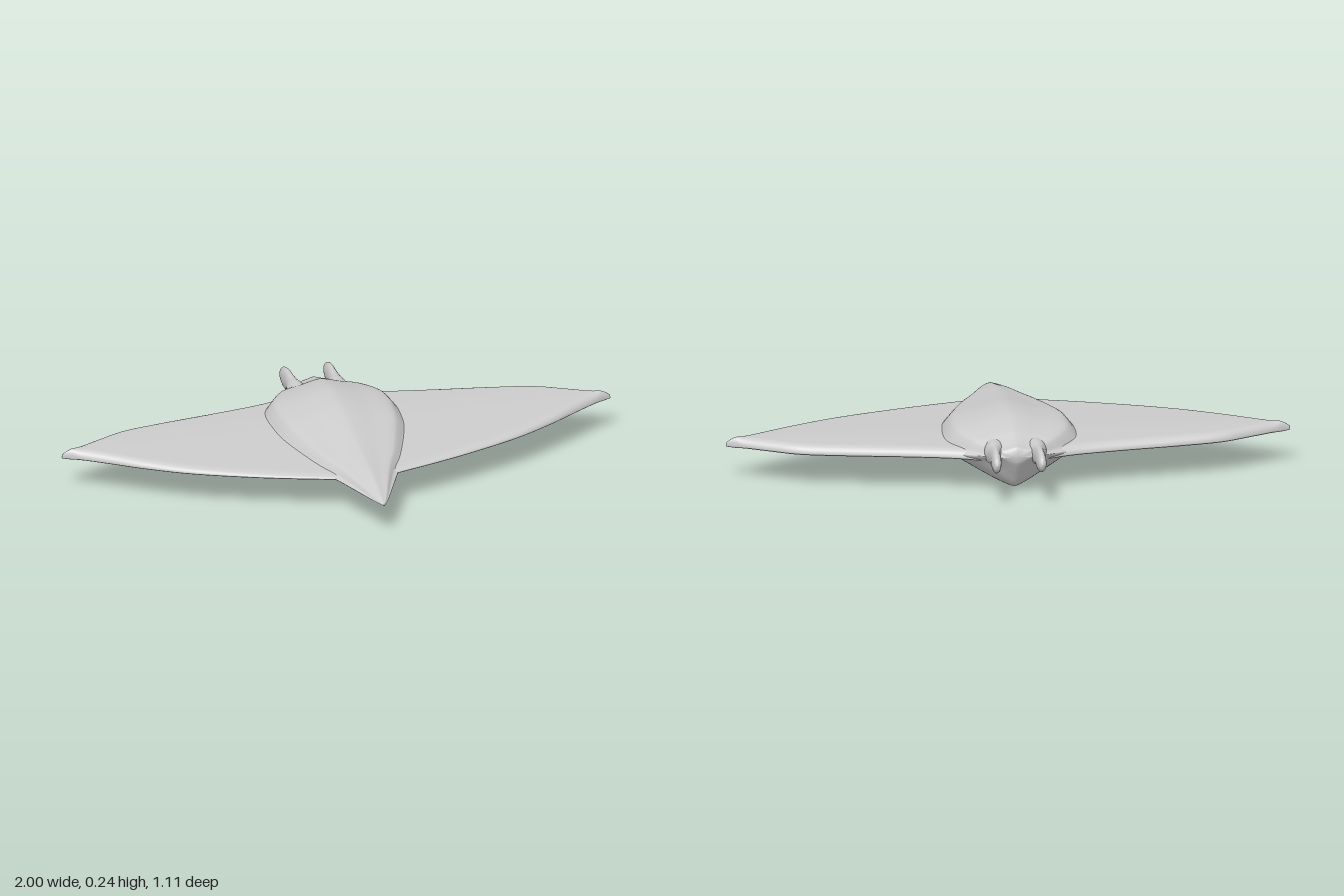
import * as THREE from 'three';

const material = new THREE.MeshStandardMaterial({ color: 0xcccccc, roughness: 0.8 });

// Smooth interpolation through rows [t, a, b, ...] sorted by t
function sample(rows, t) {
  let i = 0;
  while (i < rows.length - 2 && t > rows[i + 1][0]) i++;
  const p = rows[i], q = rows[i + 1];
  const h = q[0] - p[0];
  const u = THREE.MathUtils.clamp((t - p[0]) / h, 0, 1);
  const before = rows[Math.max(i - 1, 0)], after = rows[Math.min(i + 2, rows.length - 1)];
  return p.slice(1).map((a, n) => {
    const k = n + 1, b = q[k];
    const m0 = ((b - before[k]) / (q[0] - before[0])) * h;
    const m1 = ((after[k] - a) / (after[0] - p[0])) * h;
    const u2 = u * u, u3 = u2 * u;
    return (2 * u3 - 3 * u2 + 1) * a + (u3 - 2 * u2 + u) * m0 + (3 * u2 - 2 * u3) * b + (u3 - u2) * m1;
  });
}

// Skin closed rings, each counter-clockwise seen from the far end, and cap both ends
function loft(name, rings) {
  const n = rings[0].length, positions = [], index = [];
  rings.forEach(r => r.forEach(p => positions.push(...p)));
  for (let i = 0; i < rings.length - 1; i++) {
    for (let j = 0; j < n; j++) {
      const a = i * n + j, b = i * n + (j + 1) % n;
      index.push(a, b, b + n, a, b + n, a + n);
    }
  }
  [0, rings.length - 1].forEach((r, end) => {
    const c = positions.length / 3;
    positions.push(...[0, 1, 2].map(k => rings[r].reduce((s, p) => s + p[k], 0) / n));
    for (let j = 0; j < n; j++) {
      const a = r * n + j, b = r * n + (j + 1) % n;
      if (end) index.push(c, a, b); else index.push(c, b, a);
    }
  });
  const geometry = new THREE.BufferGeometry();
  geometry.setAttribute('position', new THREE.Float32BufferAttribute(positions, 3));
  geometry.setIndex(index);
  geometry.computeVertexNormals();
  const mesh = new THREE.Mesh(geometry, material);
  mesh.name = name;
  return mesh;
}

const steps = (from, to, count) => Array.from({ length: count + 1 }, (_, i) => from + (to - from) * i / count);

// Body: z, half width, top, widest level, bottom
const BODY = [
  [-0.437, 0.045, 0.175, 0.155, 0.138],
  [-0.43, 0.065, 0.188, 0.155, 0.125],
  [-0.4, 0.105, 0.195, 0.15, 0.078],
  [-0.37, 0.145, 0.206, 0.145, 0.036],
  [-0.33, 0.2, 0.224, 0.14, 0.018],
  [-0.25, 0.26, 0.241, 0.138, 0.005],
  [-0.18, 0.275, 0.247, 0.138, 0.004],
  [-0.08, 0.27, 0.243, 0.138, 0.011],
  [0, 0.255, 0.232, 0.136, 0.023],
  [0.2, 0.175, 0.196, 0.133, 0.065],
  [0.3, 0.12, 0.181, 0.13, 0.075],
  [0.4, 0.075, 0.163, 0.127, 0.09],
  [0.5, 0.03, 0.138, 0.123, 0.109],
  [0.55, 0.003, 0.122, 0.12, 0.118]
];

function makeBody() {
  // Shouldered back above, keel below
  const half = [[0, -1], [0.2, -0.87], [0.42, -0.64], [0.62, -0.4], [0.82, -0.17], [1, 0],
    [0.87, 0.17], [0.79, 0.42], [0.7, 0.62], [0.4, 0.78], [0.15, 0.94], [0, 1]];
  const mirrored = half.slice(1, -1).reverse().map(([x, y]) => [-x, y]);
  const outline = new THREE.CatmullRomCurve3(
    [...half, ...mirrored].map(([x, y]) => new THREE.Vector3(x, y, 0)), true
  ).getPoints(88).slice(0, -1);
  const zs = [...steps(-0.437, -0.33, 16), ...steps(-0.32, 0.55, 60)];
  return loft('body', zs.map(z => {
    const [w, top, mid, bottom] = sample(BODY, z);
    return outline.map(p => [p.x * w, mid + p.y * (p.y > 0 ? top - mid : mid - bottom), z]);
  }));
}

// Wing plan: distance from the middle, leading edge z, trailing edge z
const WING = [
  [0.02, -0.385, 0.33], [0.1, -0.38, 0.315], [0.17, -0.352, 0.293], [0.25, -0.33, 0.268],
  [0.4, -0.302, 0.215], [0.6, -0.27, 0.13], [0.75, -0.238, 0.043], [0.85, -0.19, -0.025],
  [0.95, -0.138, -0.09], [0.985, -0.122, -0.108], [1, -0.117, -0.113]
];
const WING_TOP = [[-0.4, 0.158], [-0.25, 0.16], [-0.1, 0.16], [0.1, 0.15], [0.33, 0.138]];

function makeWing(name, side) {
  const xs = [...steps(0.02, 0.94, 44), ...steps(0.95, 1, 8)].map(x => x * side);
  if (side < 0) xs.reverse();
  const mid = 0.13, floor = 0.121, count = 32;
  return loft(name, xs.map(x => {
    const [lead, trail] = sample(WING, Math.abs(x));
    const chord = trail - lead, radius = Math.min(0.035, chord / 2);
    const tip = Math.sqrt(Math.min(1, (1.004 - Math.abs(x)) / 0.04));
    const ring = [];
    for (let j = 0; j < count * 2; j++) {
      const a = j / count * Math.PI;
      const z = lead + chord * (1 - Math.cos(a)) / 2;
      const edge = Math.min(1, Math.max(0, Math.min(z - lead, trail - z) / radius));
      const round = Math.sqrt(1 - (1 - edge) ** 2) * tip;
      const y = j < count ? mid + (sample(WING_TOP, z)[0] - mid) * round : mid - (mid - floor) * round;
      ring.push([x, y, z]);
    }
    return ring;
  }));
}

// Head fin: z, centre x, half width, bottom, top
const FIN = [
  [-0.555, 0.08, 0.002, 0.158, 0.165],
  [-0.55, 0.08, 0.01, 0.145, 0.178],
  [-0.535, 0.08, 0.015, 0.132, 0.19],
  [-0.5, 0.079, 0.018, 0.121, 0.2],
  [-0.46, 0.078, 0.019, 0.126, 0.2],
  [-0.42, 0.077, 0.024, 0.125, 0.198],
  [-0.39, 0.075, 0.034, 0.115, 0.2],
  [-0.34, 0.07, 0.045, 0.105, 0.2]
];

function makeFin(name, side) {
  const zs = [...steps(-0.555, -0.535, 6), ...steps(-0.53, -0.34, 24)];
  return loft(name, zs.map(z => {
    const [cx, w, bottom, top] = sample(FIN, z);
    return steps(0, 23, 23).map(j => {
      const a = j / 24 * Math.PI * 2;
      return [side * cx + w * Math.cos(a), (top + bottom) / 2 + (top - bottom) / 2 * Math.sin(a), z];
    });
  }));
}

export function createModel() {
  const model = new THREE.Group();
  model.name = 'ray';
  model.add(makeBody());
  for (const [label, side] of [['left', 1], ['right', -1]]) {
    model.add(makeWing(label + 'Wing', side), makeFin(label + 'HeadFin', side));
  }
  return model;
}
